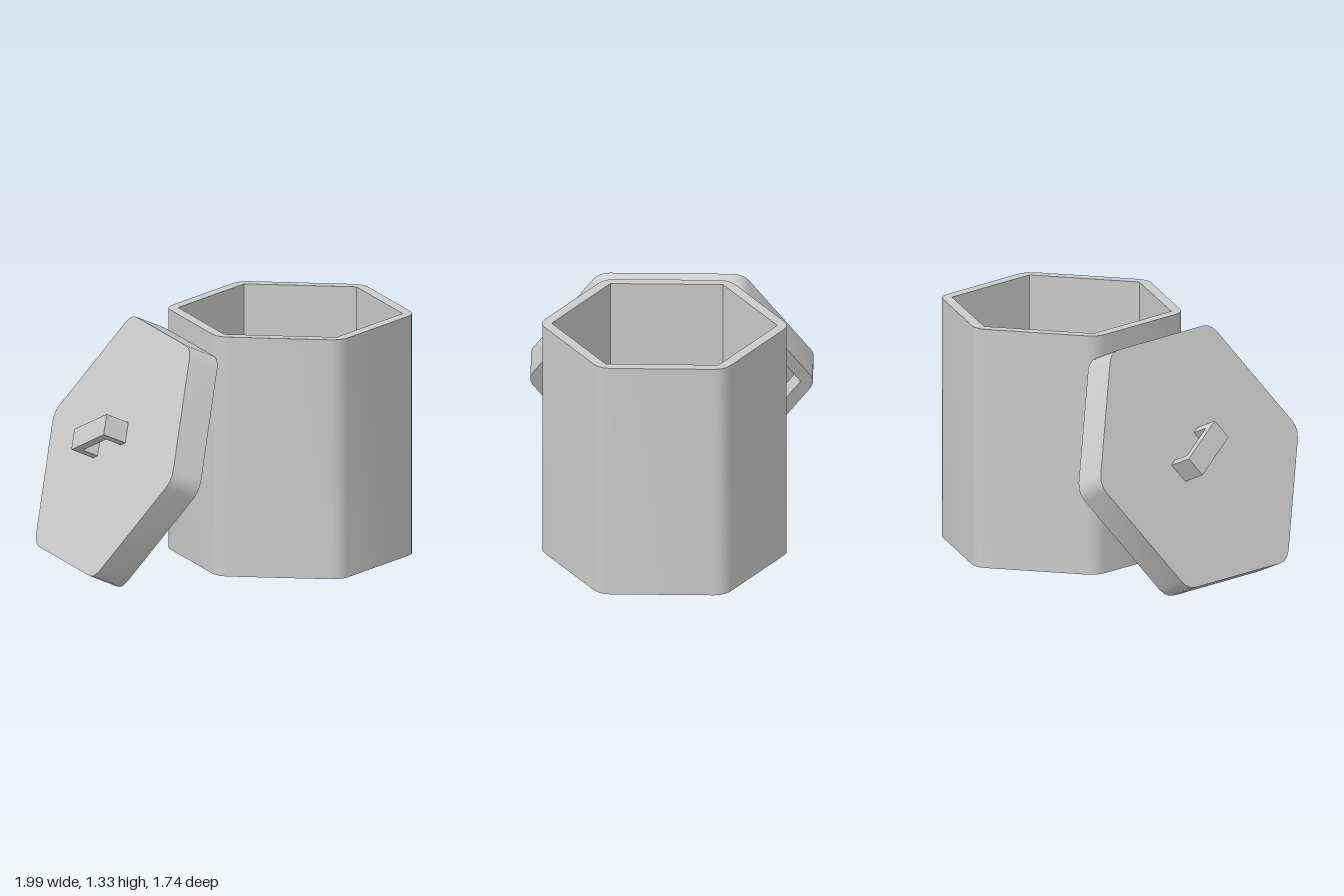
import * as THREE from 'three';
import { toCreasedNormals } from 'three/addons/utils/BufferGeometryUtils.js';

const material = new THREE.MeshStandardMaterial({ color: 0xcccccc });

function extrude(name, shape, depth) {
  const geometry = new THREE.ExtrudeGeometry(shape, { depth, bevelEnabled: false, curveSegments: 4 });
  const mesh = new THREE.Mesh(toCreasedNormals(geometry, 0.6), material);
  mesh.name = name;
  return mesh;
}

// Hexagon points with corners on the x axis; a fillet radius rounds each corner
function hexPoints(radius, fillet = 0, steps = 3) {
  const points = [];
  const centre = radius - fillet / Math.cos(Math.PI / 6);
  for (let i = 0; i < 6; i++) {
    const a = i * Math.PI / 3;
    if (!fillet) {
      points.push(new THREE.Vector2(radius * Math.cos(a), radius * Math.sin(a)));
      continue;
    }
    for (let j = 0; j <= steps; j++) {
      const b = a + (j / steps - 0.5) * Math.PI / 3;
      points.push(new THREE.Vector2(
        centre * Math.cos(a) + fillet * Math.cos(b),
        centre * Math.sin(a) + fillet * Math.sin(b)));
    }
  }
  return points;
}

// Hollow hexagonal vessel, closed at z = 0 and open at z = height
function vessel(name, outer, inner, height, floor) {
  const group = new THREE.Group();
  group.name = name;
  const ring = new THREE.Shape(hexPoints(outer, 0.1));
  ring.holes.push(new THREE.Path(hexPoints(inner)));
  group.add(extrude(name + 'Wall', ring, height));
  group.add(extrude(name + 'Floor', new THREE.Shape(hexPoints(inner)), floor));
  return group;
}

export function createModel() {
  const model = new THREE.Group();
  model.name = 'hexagonalJar';

  // Open jar standing upright
  const jar = vessel('jar', 0.67, 0.603, 1.325, 0.07);
  jar.rotation.x = -Math.PI / 2;
  jar.position.set(0.34, 0, -0.29);
  model.add(jar);

  // Lid leaning on the jar; its local z points out of the top face
  const lid = new THREE.Group();
  lid.name = 'lid';
  const cap = vessel('cap', 0.772, 0.69, 0.18, 0.075);
  cap.rotation.x = Math.PI;
  lid.add(cap);

  // Bracket handle: a bar on two legs
  const w = 0.1575, t = 0.045, h = 0.14;
  const bracket = new THREE.Shape([
    [-w, 0], [-w + t, 0], [-w + t, h - t], [w - t, h - t], [w - t, 0], [w, 0], [w, h], [-w, h],
  ].map(([x, y]) => new THREE.Vector2(x, y)));
  const handle = extrude('handle', bracket, 0.12);
  handle.geometry.translate(0, 0, -0.06);
  handle.geometry.rotateX(Math.PI / 2);
  handle.rotation.z = Math.PI / 6;
  handle.position.set(-0.05, 0.023, 0);
  lid.add(handle);

  lid.rotation.set(-0.44, -Math.PI / 3, 0, 'YXZ');
  lid.position.set(-0.563, 0.682, 0.21);
  model.add(lid);
  return model;
}
